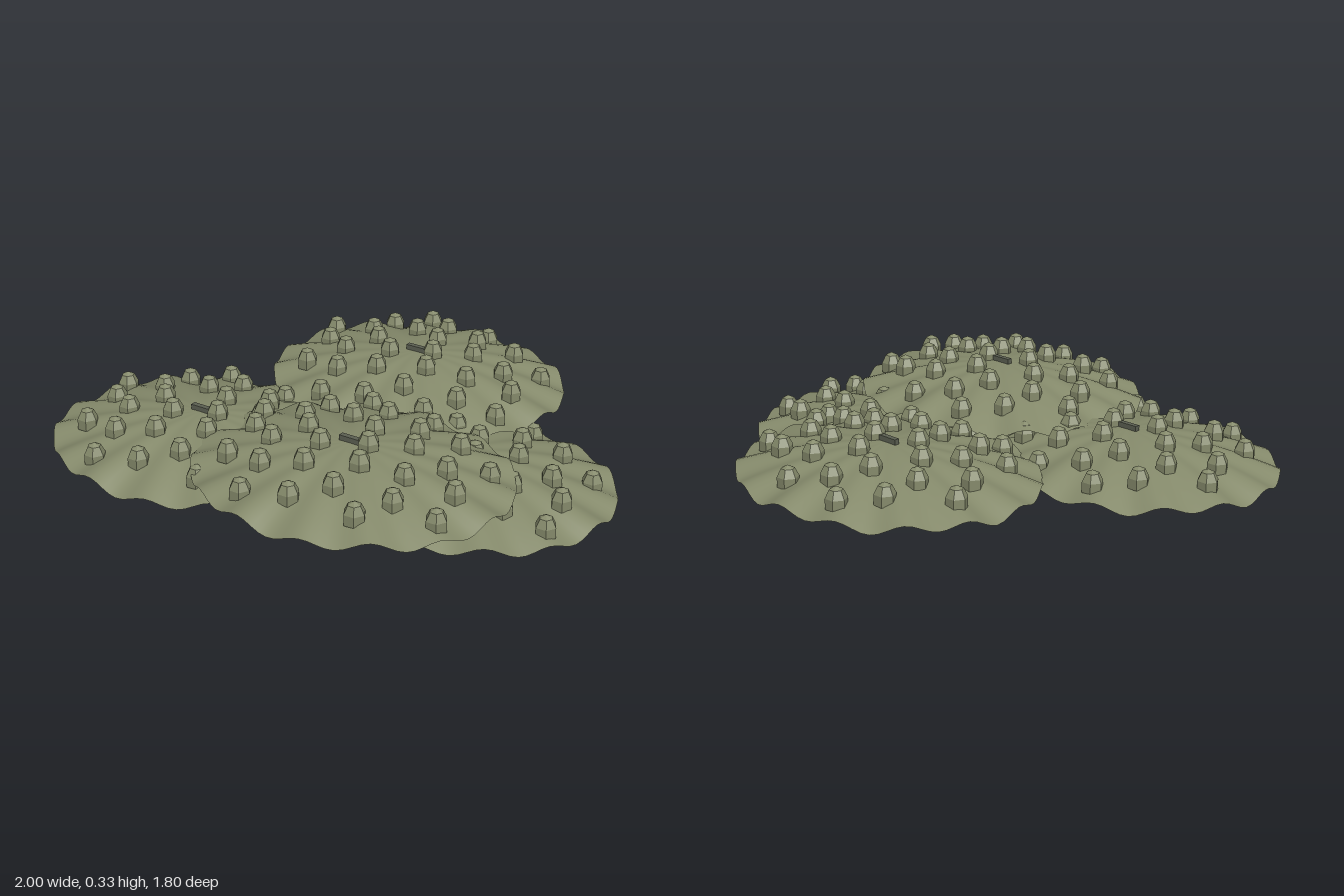
import * as THREE from 'three';

const RX = 0.565, RZ = 0.485, DOME = 0.11, WAVES = 15;
const GOLDEN = Math.PI * (3 - Math.sqrt(5));

const skin = new THREE.MeshStandardMaterial({ color: 0x858a6b, side: THREE.DoubleSide });
const knob = new THREE.MeshStandardMaterial({ color: 0x858a6b, flatShading: true });
const dark = new THREE.MeshStandardMaterial({ color: 0x5c6052 });

// Height of a rippled, domed pad at polar position (t = 0 centre .. 1 rim)
function padHeight(t, a) {
  const ripple = 0.014 * Math.sin(WAVES * a) + 0.006 * Math.sin(7 * a + 1);
  return DOME * (1 - Math.pow(t, 1.8)) + ripple * t * t;
}

// Thin elliptical sheet made of concentric rings
function padGeometry() {
  const rings = 14, segs = 120, pos = [], index = [];
  for (let i = 0; i <= rings; i++) {
    for (let j = 0; j < segs; j++) {
      const t = i / rings, a = (j / segs) * Math.PI * 2;
      pos.push(RX * t * Math.cos(a), padHeight(t, a), RZ * t * Math.sin(a));
      if (i === rings) continue;
      const k = (j + 1) % segs, p = i * segs;
      const q = p + segs;
      if (i > 0) index.push(p + j, p + k, q + j);
      index.push(p + k, q + k, q + j);
    }
  }
  const g = new THREE.BufferGeometry();
  g.setAttribute('position', new THREE.Float32BufferAttribute(pos, 3));
  g.setIndex(index);
  g.computeVertexNormals();
  return g;
}

export function createModel() {
  const model = new THREE.Group();
  const sheetGeo = padGeometry();
  const bumpGeo = new THREE.SphereGeometry(0.04, 6, 5).scale(1, 1.45, 1);
  const ribGeo = new THREE.BoxGeometry(0.11, 0.02, 0.02);

  // Four overlapping pads: centre x, rim height, centre z
  const pads = [
    ['rightPad', 0.43, 0.035, 0.045],
    ['leftPad', -0.435, 0.08, 0.355],
    ['backPad', -0.025, 0.125, -0.42],
    ['frontPad', 0.235, 0.17, 0.41],
  ];
  for (const [name, x, y, z] of pads) {
    const pad = new THREE.Group();
    pad.name = name;
    pad.position.set(x, y, z);

    const sheet = new THREE.Mesh(sheetGeo, skin);
    sheet.name = 'sheet';
    pad.add(sheet);

    // Bumps in a sunflower spiral
    for (let i = 0; i < 30; i++) {
      const r = Math.sqrt(i + 0.5), a = i * GOLDEN;
      const bx = 0.0925 * r * Math.cos(a), bz = 0.076 * r * Math.sin(a);
      const t = Math.hypot(bx / RX, bz / RZ);
      const bump = new THREE.Mesh(bumpGeo, knob);
      bump.name = 'bump';
      bump.position.set(bx, padHeight(t, Math.atan2(bz / RZ, bx / RX)) + 0.005, bz);
      pad.add(bump);
    }

    // Short rib at the crown
    const rib = new THREE.Mesh(ribGeo, dark);
    rib.name = 'crownRib';
    rib.position.set(0.01, DOME + 0.008, 0);
    pad.add(rib);
    model.add(pad);
  }
  return model;
}
